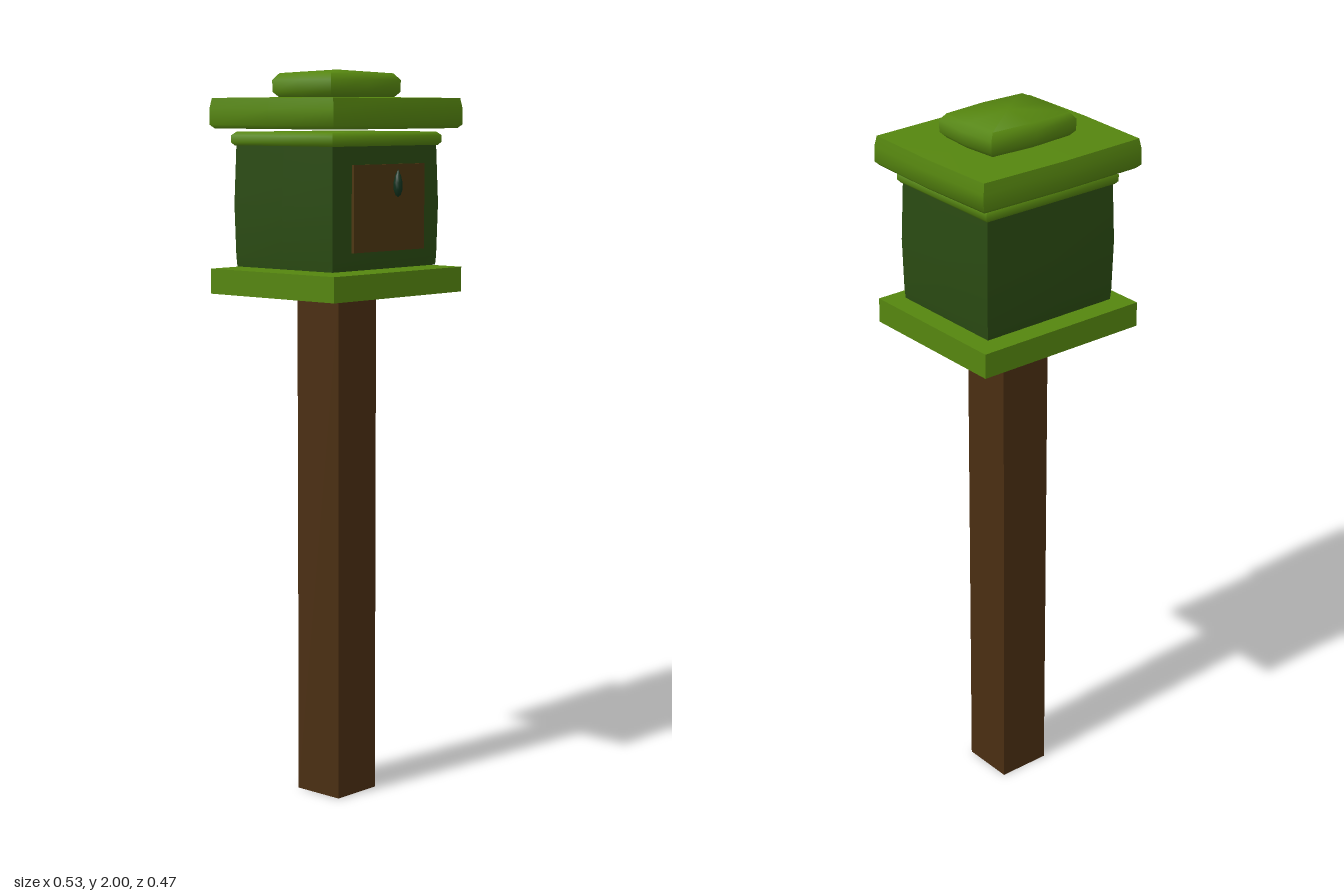
import * as THREE from 'three';
import { toCreasedNormals } from 'three/addons/utils/BufferGeometryUtils.js';

const mat = (color) => new THREE.MeshStandardMaterial({ color });
const GREEN = mat(0x55850f), DARK = mat(0x2a4a12), WOOD = mat(0x4a2e12), PANEL = mat(0x4c3610), DROP = mat(0x10301c);

// Closed slab with bowed sides: levels are [y, half width, half depth, bow], capped at both ends
function bowedSlab(levels, crown = 0) {
  const pos = [], idx = [];
  for (const [y, w, d, b] of levels) {
    pos.push(w, y, d, w + b, y, 0, w, y, -d, 0, y, -d - b, -w, y, -d, -w - b, y, 0, -w, y, d, 0, y, d + b);
  }
  const top = (levels.length - 1) * 8, c = levels.length * 8;
  pos.push(0, levels[0][0], 0, 0, levels.at(-1)[0] + crown, 0);
  for (let i = 0; i < 8; i++) {
    const j = (i + 1) % 8;
    for (let k = 0; k < top; k += 8) idx.push(k + i, k + j, k + 8 + j, k + i, k + 8 + j, k + 8 + i);
    idx.push(c, j, i, c + 1, top + i, top + j);
  }
  const g = new THREE.BufferGeometry();
  g.setAttribute('position', new THREE.Float32BufferAttribute(pos, 3));
  g.setIndex(idx);
  return toCreasedNormals(g, 0.9);
}

export function createModel() {
  const model = new THREE.Group();
  const add = (name, geometry, material, x = 0, y = 0, z = 0) => {
    const m = new THREE.Mesh(geometry, material);
    m.name = name;
    m.position.set(x, y, z);
    model.add(m);
    return m;
  };

  // Square post and the plate it carries
  add('post', new THREE.BoxGeometry(0.152, 1.392, 0.152), WOOD, 0, 0.696, 0);
  add('basePlate', new THREE.BoxGeometry(0.516, 0.068, 0.454), GREEN, 0, 1.432, 0);

  // Box body, slightly swollen at mid height
  add('body', bowedSlab([
    [1.472, 0.208, 0.175, 0], [1.5, 0.21, 0.177, 0.002], [1.64, 0.213, 0.18, 0.002], [1.802, 0.208, 0.176, 0],
  ]), DARK);

  // Thin moulding under the roof
  add('cornice', bowedSlab([
    [1.798, 0.212, 0.179, 0], [1.806, 0.219, 0.186, 0.001], [1.824, 0.219, 0.186, 0.001], [1.834, 0.208, 0.176, 0],
  ]), GREEN);

  // Stepped roof with rounded, bowed edges
  add('roof', bowedSlab([
    [1.843, 0.25, 0.216, 0.005], [1.853, 0.26, 0.226, 0.007], [1.895, 0.26, 0.226, 0.007], [1.924, 0.255, 0.221, 0.006],
  ], 0.004), GREEN);
  add('roofCap', bowedSlab([
    [1.925, 0.125, 0.094, 0.008], [1.94, 0.139, 0.107, 0.01], [1.972, 0.14, 0.107, 0.01], [1.99, 0.125, 0.094, 0.008],
  ], 0.01), GREEN);

  // Front panel with a hanging drop
  add('frontPanel', new THREE.BoxGeometry(0.284, 0.23, 0.008), PANEL, 0, 1.635, 0.187);
  const drop = [[0, -0.036], [0.007, -0.031], [0.012, -0.016], [0.012, 0.002], [0.008, 0.02], [0, 0.038]];
  add('drop', new THREE.LatheGeometry(drop.map(([x, y]) => new THREE.Vector2(x, y)), 10), DROP, 0, 1.7, 0.22);

  return model;
}
